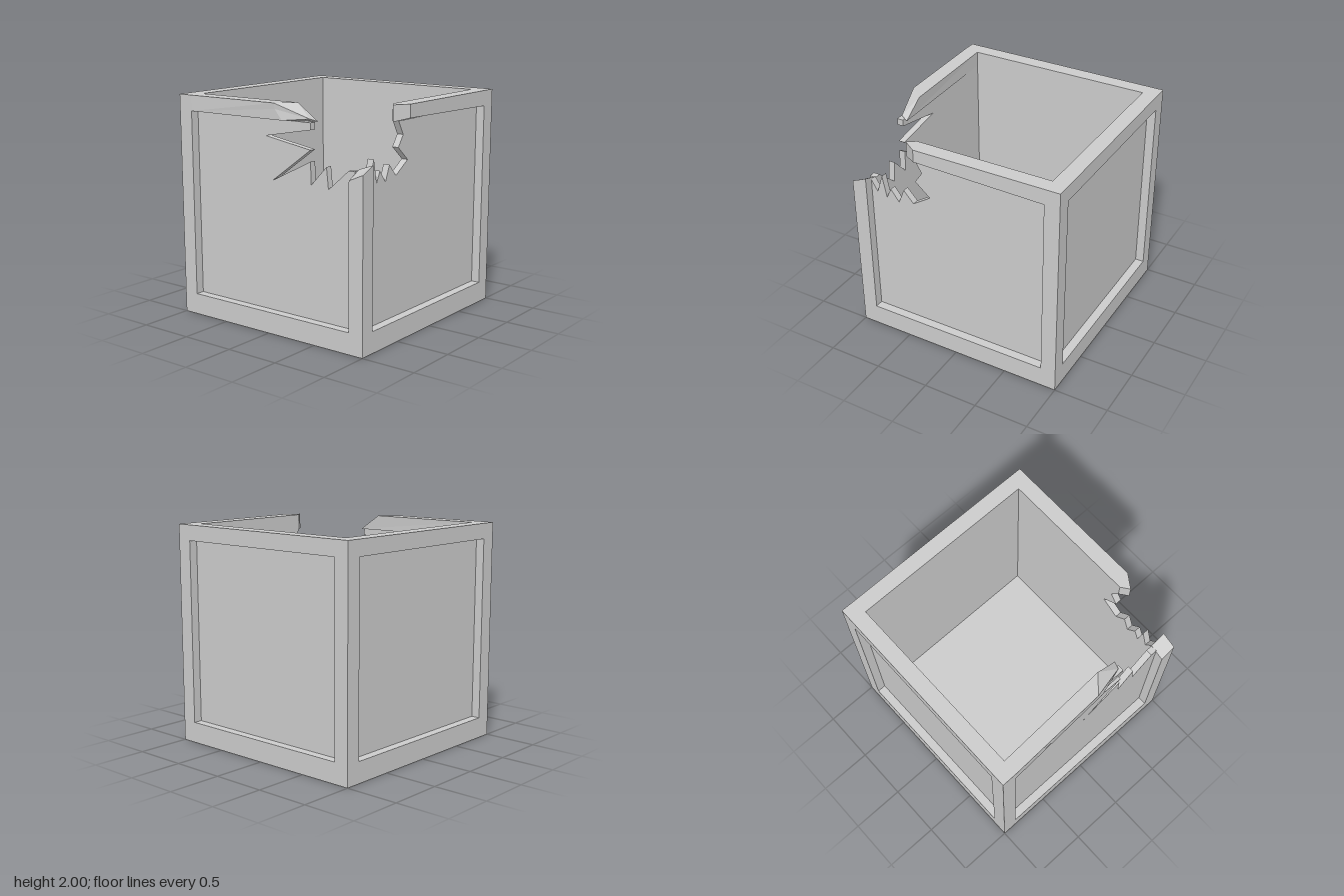
import * as THREE from 'three';

const IN = 0.86;      // inner face of the walls
const PANEL = 0.92;   // outer face of the recessed panels
const LOW = 0.19;     // top of the bottom rails
const HIGH = 1.86;    // underside of the top rails

export function createModel() {
  const group = new THREE.Group();
  const mat = new THREE.MeshStandardMaterial({ color: 0xcccccc, flatShading: true });

  const add = (name, geo) => {
    const mesh = new THREE.Mesh(geo, mat);
    mesh.name = name;
    group.add(mesh);
    return mesh;
  };
  // Box given by its min and max corners
  const box = (name, a, b) => {
    const geo = new THREE.BoxGeometry(b[0] - a[0], b[1] - a[1], b[2] - a[2]);
    geo.translate((a[0] + b[0]) / 2, (a[1] + b[1]) / 2, (a[2] + b[2]) / 2);
    return add(name, geo);
  };
  // Flat outline extruded from d0 to d1
  const plate = (pts, d0, d1) => {
    const shape = new THREE.Shape(pts.map(([x, y]) => new THREE.Vector2(x, y)));
    const geo = new THREE.ExtrudeGeometry(shape, { depth: d1 - d0, bevelEnabled: false });
    return geo.translate(0, 0, d0);
  };

  // Three whole corner posts
  box('backLeftPost', [IN, 0, -1], [1, 2, -IN]);
  box('backRightPost', [-1, 0, -1], [-IN, 2, -IN]);
  box('frontRightPost', [-1, 0, IN], [-IN, 2, 1]);

  // Snapped post: each top corner at its own height
  const snapped = box('brokenPost', [IN, 0, IN], [1, 1.5, 1]).geometry;
  const p = snapped.attributes.position;
  for (let i = 0; i < p.count; i++) {
    if (p.getY(i) < 1) continue;
    const outX = p.getX(i) > 0.93, outZ = p.getZ(i) > 0.93;
    p.setY(i, outX ? (outZ ? 1.51 : 1.57) : (outZ ? 1.45 : 1.52));
  }
  snapped.computeVertexNormals();

  // Bottom rails, whole top rails and floor
  for (const s of [-1, 1]) {
    const [a, b] = s < 0 ? [-1, -IN] : [IN, 1];
    box('bottomRail', [-IN, 0, a], [IN, LOW, b]);
    box('bottomSideRail', [a, 0, -IN], [b, LOW, IN]);
  }
  box('backTopRail', [-IN, HIGH, -1], [IN, 2, -IN]);
  box('rightTopRail', [-1, HIGH, -IN], [-IN, 2, IN]);
  box('floorPanel', [-IN, 0.08, -IN], [IN, LOW, IN]);

  // Whole panels
  box('backPanel', [-IN, LOW, -PANEL], [IN, HIGH, -IN]);
  box('rightPanel', [-PANEL, LOW, -IN], [-IN, HIGH, IN]);

  // Splintered front panel (x, y)
  add('brokenFrontPanel', plate([
    [-IN, LOW], [IN, LOW], [IN, 1.51], [0.8, 1.51], [0.595, 1.33], [0.575, 1.515],
    [0.415, 1.345], [0.41, 1.54], [0, 1.335], [0.41, 1.635], [-0.07, 1.71],
    [0.41, 1.8], [0.41, HIGH], [-IN, HIGH],
  ], IN, PANEL));

  // Splintered left panel (-z, y), turned to face +x
  add('brokenLeftPanel', plate([
    [-IN, LOW], [IN, LOW], [IN, HIGH], [-0.4, HIGH], [-0.33, 1.74], [-0.4, 1.64],
    [-0.26, 1.52], [-0.43, 1.41], [-0.525, 1.515], [-0.58, 1.38], [-0.66, 1.485],
    [-0.705, 1.39], [-0.745, 1.59], [-0.8, 1.42], [-IN, 1.52],
  ], IN, PANEL).rotateY(Math.PI / 2));

  // Left top rail, broken to a ridge (x, -z), its outer lower edge chipped upwards
  const sideRail = plate([
    [IN, -0.4], [0.915, -0.475], [1, -0.35], [1, IN], [IN, IN],
  ], HIGH, 2).rotateX(-Math.PI / 2);
  const q = sideRail.attributes.position;
  for (let i = 0; i < q.count; i++) {
    if (q.getX(i) > 0.99 && q.getZ(i) > 0 && q.getY(i) < 1.9) q.setY(i, 1.885);
  }
  sideRail.computeVertexNormals();
  add('brokenLeftTopRail', sideRail);

  // Front top rail, bent inwards and ending in a splinter
  const frontRail = new THREE.BufferGeometry();
  frontRail.setAttribute('position', new THREE.Float32BufferAttribute([
    -IN, 2, 1, -IN, 2, IN, -IN, HIGH, IN, -IN, HIGH, 1,
    0.065, 2, 0.97, 0.2, 2, 0.82, 0.41, HIGH, 0.82, 0.14, HIGH, 0.96,
    0.07, 1.95, 0.965, 0.38, 1.885, 0.89,
  ], 3));
  const faces = [
    [0, 4, 5, 1], [3, 7, 8, 4, 0], [3, 2, 6, 7], [1, 5, 6, 2],
    [9, 4, 8, 7, 6, 5, 4],
  ];
  frontRail.setIndex(faces.flatMap((f) =>
    f.slice(2).flatMap((v, i) => [f[0], f[i + 1], v])));
  const flatRail = frontRail.toNonIndexed();
  flatRail.computeVertexNormals();
  add('brokenFrontTopRail', flatRail);

  return group;
}
